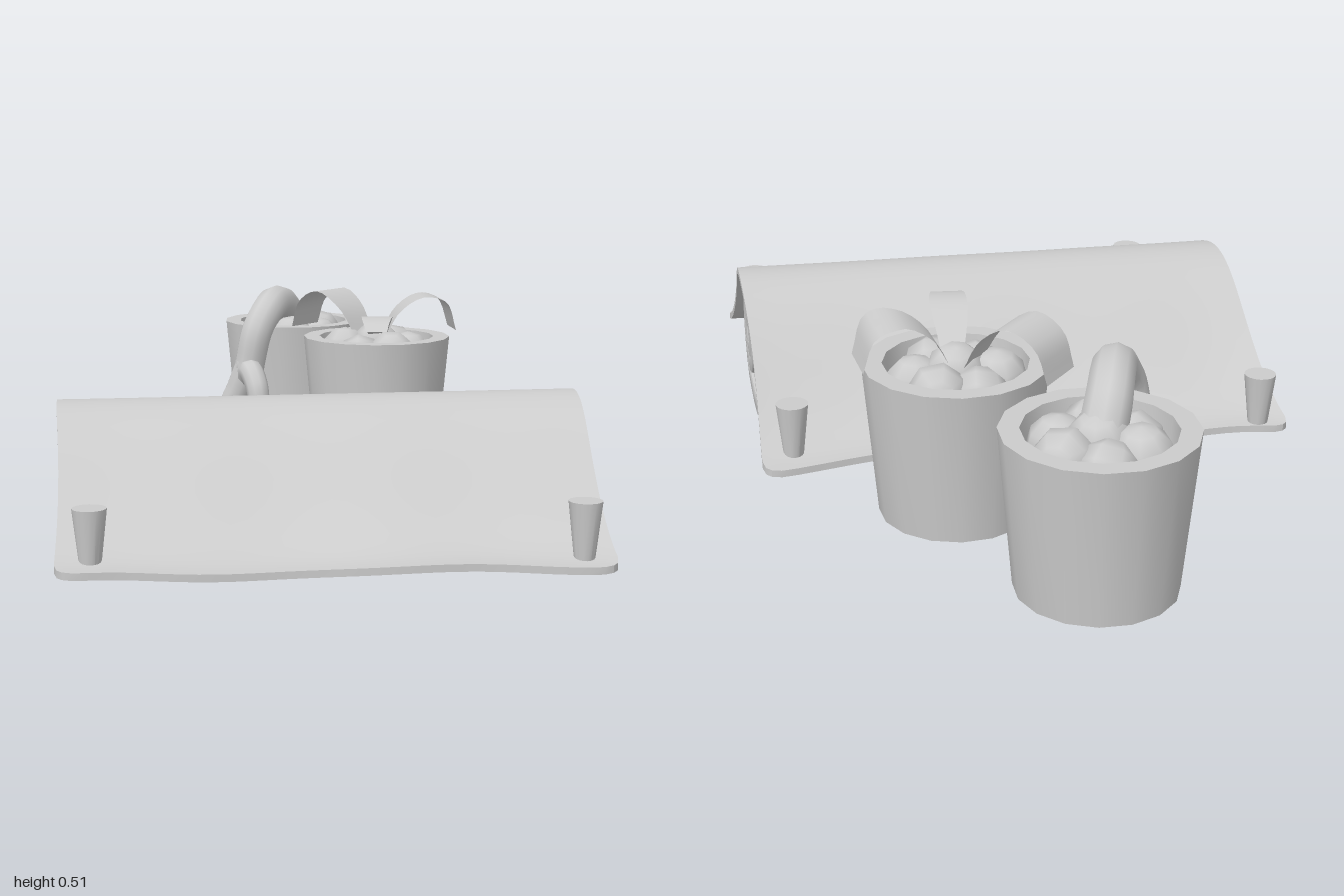
import * as THREE from 'three';
import { toCreasedNormals } from 'three/addons/utils/BufferGeometryUtils.js';

const V = (x, y, z) => new THREE.Vector3(x, y, z);

export function createModel() {
  const model = new THREE.Group();
  const grey = new THREE.MeshStandardMaterial({ color: 0xcccccc });
  const thin = new THREE.MeshStandardMaterial({ color: 0xcccccc, side: THREE.DoubleSide });
  const add = (name, geometry, parent = model, material = grey) => {
    const mesh = new THREE.Mesh(geometry, material);
    mesh.name = name;
    parent.add(mesh);
    return mesh;
  };

  // Tent cloth: a thin slab with rounded corners, draped over a ridge
  const back = V(0.2, 0, -0.725), left = V(0.975, 0, 0.15);
  const front = V(0, 0, 1.03), right = V(-0.84, 0, 0.16);
  const cloth = new THREE.BoxGeometry(2, 0.018, 2, 40, 1, 32);
  const pos = cloth.attributes.position;
  const r = 0.1;
  for (let i = 0; i < pos.count; i++) {
    // s runs across the ridge, t along it towards the back
    let s = pos.getX(i), t = -pos.getZ(i);
    const cs = THREE.MathUtils.clamp(s, r - 1, 1 - r), ct = THREE.MathUtils.clamp(t, r - 1, 1 - r);
    const ds = s - cs, dt = t - ct, d = Math.hypot(ds, dt);
    if (d > 0) {
      const k = Math.max(Math.abs(ds), Math.abs(dt)) / d;
      s = cs + ds * k;
      t = ct + dt * k;
    }
    // Long edges drawn in between the corners, with a slight ripple
    const s0 = s;
    s *= 1 - (s < 0 ? 0.085 : 0.03) * (1 - t ** 6) + 0.012 * Math.sin(t * 9) * (1 - t ** 6);
    t *= 1 - 0.012 * Math.sin(Math.PI * s0) ** 2;
    const a = right.clone().lerp(front, (s + 1) / 2);
    const b = back.clone().lerp(left, (s + 1) / 2);
    const p = a.lerp(b, (t + 1) / 2);
    const ridge = 0.312 + 0.007 * t;
    const wave = 0.006 * Math.sin(t * 5) * s * s;
    const y = 0.018 + wave + ridge * (0.5 + 0.5 * Math.cos(Math.PI * s0)) + pos.getY(i);
    pos.setXYZ(i, p.x, y, p.z);
  }
  cloth.computeVertexNormals();
  add('tentCloth', cloth);

  // Tapered pegs at the four corners
  for (const [x, z] of [[0.2, -0.6], [0.87, 0.15], [0, 0.91], [-0.74, 0.155]]) {
    const peg = toCreasedNormals(new THREE.CylinderGeometry(0.041, 0.024, 0.15, 16), 0.6);
    add('tentPeg', peg).position.set(x, 0.091, z);
  }

  // Rolled mat: a strip with a loose flap that winds into a spiral
  const line = [];
  for (let x = 0.245; x > 0.02; x -= 0.04) line.push([x, 0.036 + 0.5 * Math.max(0, x - 0.08) ** 2]);
  const turns = 2.9, steps = 90;
  for (let i = 0; i <= steps; i++) {
    const ang = -Math.PI / 2 - (i / steps) * turns * Math.PI * 2;
    const rad = 0.14 - 0.12 * (i / steps);
    line.push([rad * Math.cos(ang), 0.18 + rad * Math.sin(ang)]);
  }
  const half = 0.016, sides = [[], []];
  line.forEach((p, i) => {
    const q = line[Math.max(i - 1, 0)], n = line[Math.min(i + 1, line.length - 1)];
    const dx = n[0] - q[0], dy = n[1] - q[1], l = Math.hypot(dx, dy);
    [1, -1].forEach((k, j) => sides[j].push(
      new THREE.Vector2(p[0] - k * half * dy / l, p[1] + k * half * dx / l)));
  });
  const strip = new THREE.Shape([...sides[0], ...sides[1].reverse()]);
  const mat = add('rolledMat', toCreasedNormals(new THREE.ExtrudeGeometry(strip, {
    depth: 1.27, bevelEnabled: true, bevelSize: 0.006, bevelThickness: 0.008, bevelSegments: 2,
  }), 0.7));
  mat.position.set(-0.385, 0, 0.567);
  mat.rotation.y = Math.atan2(0.755, -0.655);

  // Buckets, open underneath, each filled with round lumps
  const profile = [[0.185, 0], [0.22, 0.375], [0.172, 0.375], [0.165, 0.28], [0, 0.28]];
  const makeBucket = (name, x, z, turn) => {
    const group = new THREE.Group();
    group.name = name;
    group.position.set(x, 0.01, z);
    group.rotation.y = turn;
    model.add(group);
    const lathe = new THREE.LatheGeometry(profile.map(p => new THREE.Vector2(...p)), 16);
    add('bucketShell', toCreasedNormals(lathe, 0.6), group, thin);
    for (let i = 0; i < 7; i++) {
      const ang = i * Math.PI / 3, d = i < 6 ? 0.095 : 0;
      const lump = add('lump', new THREE.SphereGeometry(0.074, 8, 6), group);
      lump.position.set(d * Math.cos(ang), i < 6 ? 0.315 + 0.012 * (i % 2) : 0.345, d * Math.sin(ang));
      lump.rotation.set(i, i * 2, 0);
    }
  };
  makeBucket('rearBucket', -0.735, -0.78, 0.1);
  makeBucket('nearBucket', -0.28, -0.61, 0.6);

  // Limp limb hanging over the rear bucket, forked at its end
  const limb = (name, points, r0, r1) => {
    const curve = new THREE.CatmullRomCurve3(points.map(p => V(...p)));
    const n = 24, m = 10;
    const tube = new THREE.TubeGeometry(curve, n, 1, m);
    const tp = tube.attributes.position;
    for (let i = 0; i < tp.count; i++) {
      const u = Math.floor(i / (m + 1)) / n, c = curve.getPointAt(u);
      const v = V().fromBufferAttribute(tp, i).sub(c).multiplyScalar(r0 + (r1 - r0) * u).add(c);
      tp.setXYZ(i, v.x, v.y, v.z);
    }
    add(name, tube);
    [[points[0], r0], [points[points.length - 1], r1]].forEach(([p, rad]) =>
      add(name + 'End', new THREE.SphereGeometry(rad, 10, 8)).position.set(...p));
  };
  limb('hangingLimb', [[-0.74, 0.37, -0.78], [-0.73, 0.43, -0.73], [-0.7, 0.455, -0.65],
    [-0.67, 0.44, -0.57], [-0.665, 0.38, -0.51], [-0.68, 0.27, -0.49]], 0.055, 0.047);
  limb('limbForkLong', [[-0.68, 0.27, -0.49], [-0.71, 0.2, -0.48], [-0.74, 0.13, -0.47],
    [-0.74, 0.06, -0.48]], 0.047, 0.038);
  limb('limbForkShort', [[-0.69, 0.23, -0.49], [-0.65, 0.26, -0.46], [-0.61, 0.22, -0.44],
    [-0.595, 0.16, -0.435]], 0.04, 0.032);

  // Arched leaves springing from the near bucket
  const leaf = (points, w0, w1, w2) => {
    const curve = new THREE.CatmullRomCurve3(points.map(p => V(...p)));
    const heading = V(...points[points.length - 1]).sub(V(...points[0])).setY(0).normalize();
    const side = V(-heading.z, 0, heading.x);
    const geo = new THREE.PlaneGeometry(1, 1, 2, 14);
    const lp = geo.attributes.position, width = new THREE.CatmullRomCurve3([V(w0), V(w1), V(w2)]);
    for (let i = 0; i < lp.count; i++) {
      const u = 0.5 - lp.getY(i);
      const p = curve.getPoint(u).addScaledVector(side, lp.getX(i) * width.getPoint(u).x);
      lp.setXYZ(i, p.x, p.y, p.z);
    }
    geo.computeVertexNormals();
    add('leaf', geo, model, thin);
  };
  leaf([[-0.32, 0.38, -0.605], [-0.375, 0.47, -0.605], [-0.45, 0.515, -0.605], [-0.52, 0.48, -0.605],
    [-0.55, 0.4, -0.605]], 0.09, 0.14, 0.13);
  leaf([[-0.27, 0.38, -0.63], [-0.24, 0.46, -0.66], [-0.19, 0.505, -0.71], [-0.14, 0.49, -0.755],
    [-0.12, 0.405, -0.78]], 0.08, 0.13, 0.13);
  leaf([[-0.26, 0.38, -0.59], [-0.22, 0.43, -0.53], [-0.17, 0.465, -0.46], [-0.13, 0.46, -0.4],
    [-0.1, 0.435, -0.36]], 0.05, 0.09, 0.06);

  return model;
}
